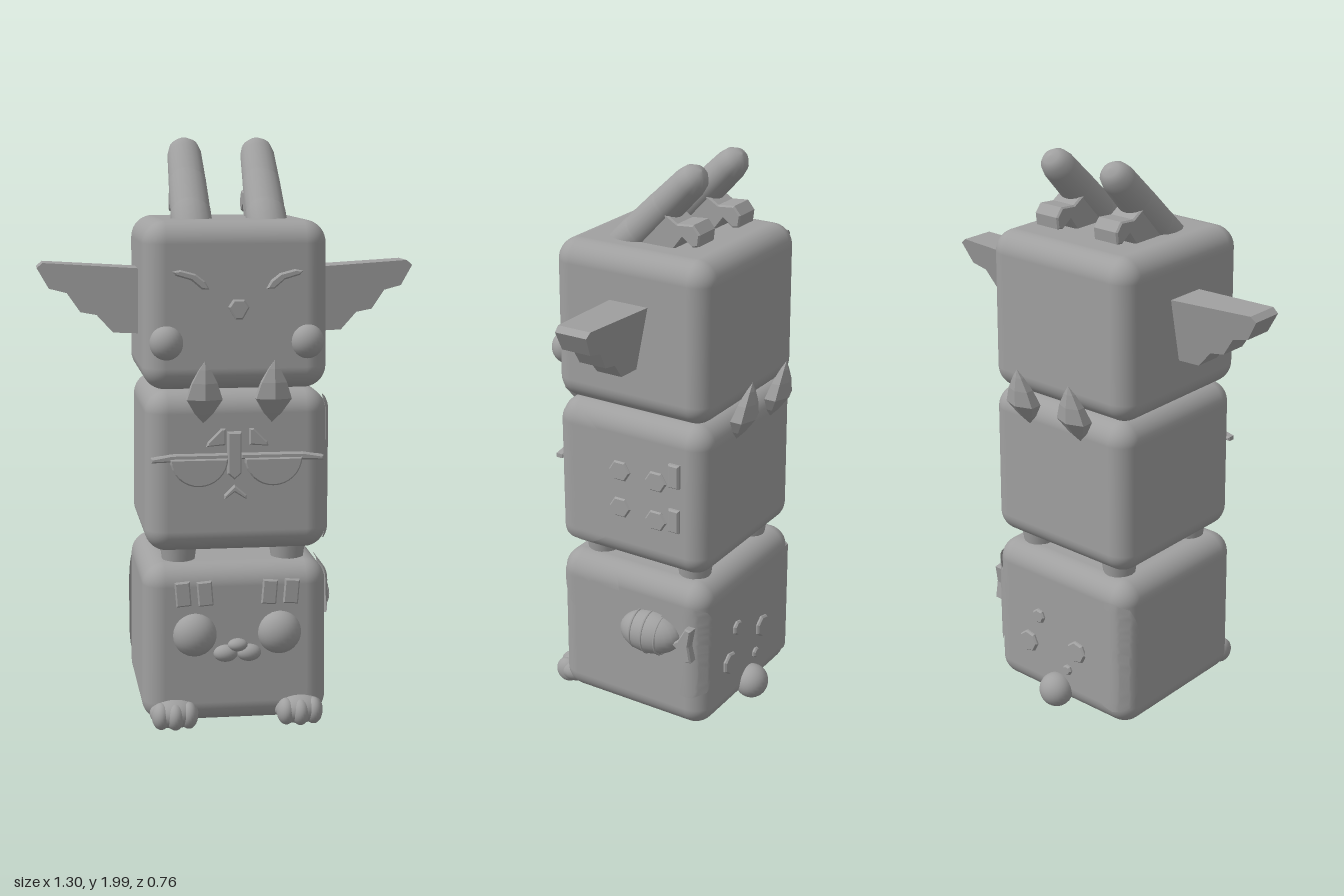
import * as THREE from 'three';
import { RoundedBoxGeometry } from 'three/addons/geometries/RoundedBoxGeometry.js';

const grey = new THREE.MeshStandardMaterial({ color: 0xa0a0a0, side: THREE.DoubleSide });
grey.name = 'stoneGrey';

export function createModel() {
  const root = new THREE.Group();
  const both = [-1, 1];
  const FRONT = 0, SIDE = Math.PI / 2, BACK = Math.PI;

  const add = (name, geo, x = 0, y = 0, z = 0) => {
    const m = new THREE.Mesh(geo, grey);
    m.name = name;
    m.position.set(x, y, z);
    root.add(m);
    return m;
  };
  const ball = (name, x, y, z, sx, sy, sz) => {
    const m = add(name, new THREE.SphereGeometry(1, 24, 16), x, y, z);
    m.scale.set(sx, sy, sz);
    return m;
  };
  const shape = (pts) => new THREE.Shape(pts.map(([a, b]) => new THREE.Vector2(a, b)));
  // Raised relief: extruded outline with a small bevel
  const relief = (name, pts, depth, x, y, z, turn = FRONT) => {
    const g = new THREE.ExtrudeGeometry(shape(pts), {
      depth, bevelEnabled: true, bevelSize: 0.005, bevelThickness: 0.006, bevelOffset: -0.005, bevelSegments: 1,
    });
    const m = add(name, g, x, y, z);
    m.rotation.y = turn;
    return m;
  };
  const ngon = (n, rx, ry, start = 0) => Array.from({ length: n }, (_, i) => {
    const a = start + (i / n) * Math.PI * 2;
    return [rx * Math.cos(a), ry * Math.sin(a)];
  });
  const rect = (w, h) => [[-w / 2, -h / 2], [w / 2, -h / 2], [w / 2, h / 2], [-w / 2, h / 2]];

  // Stacked rounded blocks
  const R = 0.075;
  const blocks = {
    top: { c: [-0.002, 1.437, 0.004], s: [0.62, 0.56, 0.605] },
    middle: { c: [0.003, 0.88, 0], s: [0.62, 0.55, 0.6] },
    bottom: { c: [-0.003, 0.288, 0.002], s: [0.635, 0.556, 0.61] },
  };
  for (const [k, b] of Object.entries(blocks)) {
    const g = new RoundedBoxGeometry(...b.s, 6, R);
    const p = g.attributes.position;
    for (let i = 0; i < p.count; i++) { // slight taper towards the top
      const t = 1 - 0.03 * Math.max(0, p.getY(i) / b.s[1]);
      p.setX(i, p.getX(i) * t);
    }
    add(k + 'Block', g, ...b.c);
  }

  // Thin patch draped over a rounded block; f(u, v) gives a point near its surface
  const drape = (name, b, nu, nv, f) => {
    const pos = [], idx = [], q = new THREE.Vector3(), c = new THREE.Vector3(...b.c);
    const h = new THREE.Vector3(...b.s).multiplyScalar(0.5).subScalar(R);
    for (let j = 0; j <= nv; j++) for (let i = 0; i <= nu; i++) {
      const p = new THREE.Vector3(...f(i / nu, j / nv)).sub(c);
      q.copy(p).clamp(h.clone().negate(), h);
      p.sub(q).setLength(R + 0.007).add(q).add(c);
      pos.push(p.x, p.y, p.z);
      if (i < nu && j < nv) {
        const a = j * (nu + 1) + i, d = a + nu + 1;
        idx.push(a, a + 1, d, a + 1, d + 1, d);
      }
    }
    const g = new THREE.BufferGeometry();
    g.setAttribute('position', new THREE.Float32BufferAttribute(pos, 3));
    g.setIndex(idx);
    g.computeVertexNormals();
    add(name, g);
  };
  // Oval patch around the side, s runs from the side face backwards round the corner
  const oval = (name, side, s0, y0, rs, ry) => drape(name, blocks.bottom, 40, 10, (u, v) => {
    const a = side * u * Math.PI * 2, s = s0 + rs * v * Math.cos(a), y = y0 + ry * v * Math.sin(a);
    return s < 0.31 ? [side * 0.34, y, -s] : [side * (0.62 - s), y, -0.34];
  });

  // ---- Top block: antlers, wings, face ----
  const hornProfile = [[0, 0], [0.068, 0], [0.064, 0.2], [0.06, 0.205], [0.063, 0.215], [0.06, 0.345],
    [0.056, 0.35], [0.059, 0.36], [0.055, 0.47], [0.047, 0.505], [0.028, 0.527], [0, 0.533]];
  const prong = [[-0.05, 1.69], [0.06, 1.83], [0.11, 1.8], [0.17, 1.805], [0.195, 1.775],
    [0.19, 1.735], [0.165, 1.73], [0.13, 1.755], [0.08, 1.69]];
  const wing = [[0.25, 1.545], [0.63, 1.567], [0.65, 1.55], [0.61, 1.48], [0.55, 1.465], [0.505, 1.4],
    [0.45, 1.39], [0.395, 1.33], [0.25, 1.325]];
  for (const s of both) {
    const horn = add('antler', new THREE.LatheGeometry(hornProfile.map((p) => new THREE.Vector2(...p)), 20), s * 0.128, 1.595, 0.205);
    horn.rotation.x = -Math.PI / 4;
    horn.scale.x = 1.08;
    relief('antlerProng', prong, 0.09, s * 0.128 - 0.045, 0, 0, SIDE);

    const g = new THREE.ExtrudeGeometry(shape(wing.map(([x, y]) => [x * s, y])), { depth: 1, bevelEnabled: false });
    const p = g.attributes.position;
    for (let i = 0; i < p.count; i++) { // thinner towards the tip and the lower feathers
      const x = Math.abs(p.getX(i)), y = p.getY(i);
      const back = -0.08 + (1.56 - y) * 0.2, front = 0.075 - (x - 0.25) * 0.09;
      p.setZ(i, back + p.getZ(i) * (front - back));
    }
    g.computeVertexNormals();
    add('wing', g);

    relief('closedEye', [[0.095, 1.495], [0.12, 1.495], [0.155, 1.525], [0.205, 1.54], [0.215, 1.553],
      [0.19, 1.558], [0.14, 1.545], [0.11, 1.522]].map(([x, y]) => [s * x, y]), 0.02, 0, 0, 0.3);
    ball('cheek', s * 0.235, 1.318, 0.295, 0.056, 0.058, 0.052);
  }
  relief('beak', [[-0.035, 1.435], [-0.018, 1.46], [0.018, 1.46], [0.035, 1.435], [0.012, 1.395], [-0.012, 1.395]], 0.02, 0.003, 0, 0.3);

  // ---- Middle block: curved spikes, face, markings, feet ----
  for (const f of both) for (const s of both) {
    const top = f > 0 ? 1.135 : 1.155;
    const pts = [[0, -0.085], [0.035, -0.05], [0.068, 0], [0.048, 0.055], [0.022, 0.1], [0, 0.13]];
    let g = new THREE.LatheGeometry(pts.map((p) => new THREE.Vector2(...p)), 6);
    const p = g.attributes.position;
    for (let i = 0; i < p.count; i++) { // flatten and lean outwards
      const y = p.getY(i);
      p.setZ(i, p.getZ(i) * 0.62 + f * (y < 0 ? y * 0.35 : y * 0.22));
    }
    g = g.toNonIndexed();
    g.computeVertexNormals();
    add('spike', g, s * 0.115, top, f * 0.335);
    add('stubFoot', new THREE.CylinderGeometry(0.068, 0.055, 0.09, 16), s * 0.188, 0.6, f * 0.19);
  }
  for (const s of both) {
    const cx = s * 0.125 - 0.005;
    const lid = Array.from({ length: 17 }, (_, i) => {
      const a = Math.PI + (i / 16) * Math.PI;
      return [0.097 * Math.cos(a), 0.095 * Math.sin(a)];
    });
    relief('halfEye', lid, 0.03, cx, 0.932, 0.29);
    relief('browRidge', [[0.01, 0.928], [0.29, 0.92], [0.29, 0.935], [0.22, 0.947], [0.01, 0.947]].map(([x, y]) => [x * s, y]), 0.022, 0, 0, 0.292);
    relief('browMark', [[0.04, 0.975], [0.105, 0.97], [0.1, 0.985], [0.055, 1.03], [0.04, 1.03]].map(([x, y]) => [x * s, y]), 0.012, 0, 0, 0.295);
  }
  relief('noseBridge', [[-0.035, 0.88], [-0.012, 0.86], [0.012, 0.88], [0.012, 1.02], [-0.035, 1.02]], 0.025, 0, 0, 0.294);
  relief('mouth', [[-0.045, 0.79], [-0.01, 0.815], [0.03, 0.79], [0.03, 0.805], [-0.01, 0.84], [-0.045, 0.805]], 0.015, 0, 0, 0.295);

  const zig = [[0.62, 0.165], [0.68, 0.095], [0.76, 0.145], [0.865, 0.08], [0.955, 0.155], [1.06, 0.095], [1.145, 0.185]];
  drape('zigzagPanel', blocks.middle, 10, 72, (u, v) => {
    const k = Math.min(5, Math.floor(v * 6)), t = v * 6 - k;
    const y = zig[k][0] * (1 - t) + zig[k + 1][0] * t, z = zig[k][1] * (1 - t) + zig[k + 1][1] * t;
    return [0.335, y, z + (0.3 - z) * u];
  });
  for (const [z, y] of [[0.035, 0.945], [-0.11, 0.94], [0.035, 0.808], [-0.11, 0.795]])
    relief('sideDiamond', ngon(6, 0.043, 0.04), 0.012, 0.3, y, z, SIDE);
  for (const y of [0.98, 0.815]) relief('sideBar', rect(0.042, 0.085), 0.018, 0.302, y, -0.185, SIDE);

  // ---- Bottom block: face, paws, patches, tail, fish ----
  for (const s of both) {
    for (const x of [0.11, 0.185])
      relief('browSpot', rect(0.052, 0.085), 0.012, s * x, 0.468, 0.297).rotation.z = -s * 0.08;
    ball('roundEye', s * 0.145, 0.325, 0.295, 0.076, 0.076, 0.066);
    ball('muzzle', s * 0.04, 0.258, 0.305, 0.042, 0.03, 0.032);
    ball('paw', s * 0.215, 0.05, 0.29, 0.084, 0.052, 0.07);
    for (const t of [-1, 0, 1])
      ball('toe', s * 0.215 + t * 0.047, 0.046, 0.325 - Math.abs(t) * 0.012, 0.032, 0.046, 0.045);
  }
  ball('nose', 0, 0.288, 0.315, 0.034, 0.022, 0.026);
  oval('earPatch', 1, -0.17, 0.485, 0.13, 0.13);
  oval('flankPatch', 1, 0.245, 0.32, 0.145, 0.18);
  oval('rumpPatch', -1, 0.36, 0.29, 0.13, 0.22);
  for (const [x, y, r] of [[0.14, 0.21, 0.042], [0.09, 0.33, 0.028], [-0.09, 0.25, 0.042], [-0.045, 0.16, 0.02]])
    relief('backSpot', ngon(7, r, r), 0.012, x, y, -0.297, BACK);
  ball('tail', 0, 0.068, -0.318, 0.062, 0.062, 0.06);

  const fish = ball('fishBody', 0.315, 0.36, -0.09, 0.072, 0.078, 0.122);
  fish.rotation.x = 0.08;
  for (const z of [-0.14, -0.09, -0.04]) { // scale bands hugging the body
    const k = Math.sqrt(1 - ((z + 0.09) / 0.122) ** 2);
    const band = add('fishBand', new THREE.TorusGeometry(1, 0.05, 6, 28), 0.315, 0.36, z);
    band.scale.set(0.072 * k, 0.078 * k, 0.08);
  }
  relief('fishTail', [[0.19, 0.355], [0.215, 0.375], [0.245, 0.43], [0.268, 0.425], [0.258, 0.36],
    [0.268, 0.3], [0.245, 0.295], [0.215, 0.335]], 0.035, 0.305, 0, 0, SIDE);

  return root;
}
